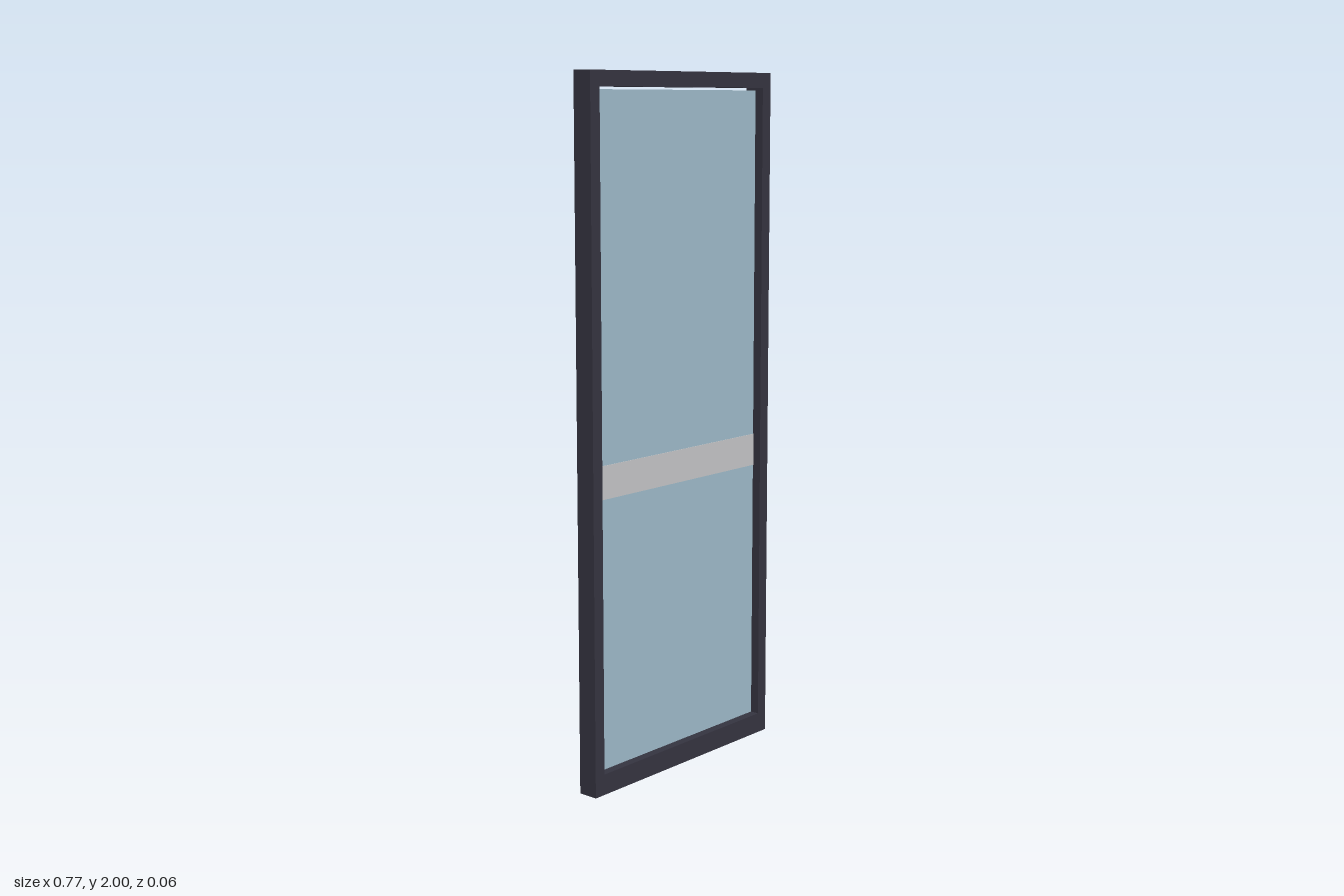
import * as THREE from 'three';

export function createModel() {
  const frameMat = new THREE.MeshStandardMaterial({ color: 0x353440 });
  frameMat.name = 'dark frame';
  const glassMat = new THREE.MeshStandardMaterial({ color: 0x9fbbca });
  glassMat.name = 'blue glass';
  const bandMat = new THREE.MeshStandardMaterial({ color: 0xc6c6c8 });
  bandMat.name = 'frosted grey';

  const group = new THREE.Group();
  group.name = 'glassDoor';

  const W = 0.383, IN = 0.347, DEPTH = 0.06; // outer and inner half widths, depth
  const BOTTOM = 0.06, TOP = 1.957;          // opening height

  // Outer frame with a rectangular opening
  const rect = (path, hw, y0, y1) =>
    path.moveTo(-hw, y0).lineTo(hw, y0).lineTo(hw, y1).lineTo(-hw, y1).closePath();
  const outline = rect(new THREE.Shape(), W, 0, 2);
  outline.holes.push(rect(new THREE.Path(), IN, BOTTOM, TOP));
  const frameGeo = new THREE.ExtrudeGeometry(outline, { depth: DEPTH, bevelEnabled: false });
  frameGeo.translate(0, 0, -DEPTH / 2);
  const frame = new THREE.Mesh(frameGeo, frameMat);
  frame.name = 'frame';
  group.add(frame);

  const panel = (name, y0, y1, depth, mat) => {
    const mesh = new THREE.Mesh(new THREE.BoxGeometry(IN * 2, y1 - y0, depth), mat);
    mesh.position.y = (y0 + y1) / 2;
    mesh.name = name;
    group.add(mesh);
  };

  // Thin pane, stopping just short of the top rail, and the band across it
  panel('glassPane', BOTTOM, 1.95, 0.006, glassMat);
  panel('frostedBand', 0.838, 0.933, 0.0095, bandMat);

  return group;
}
